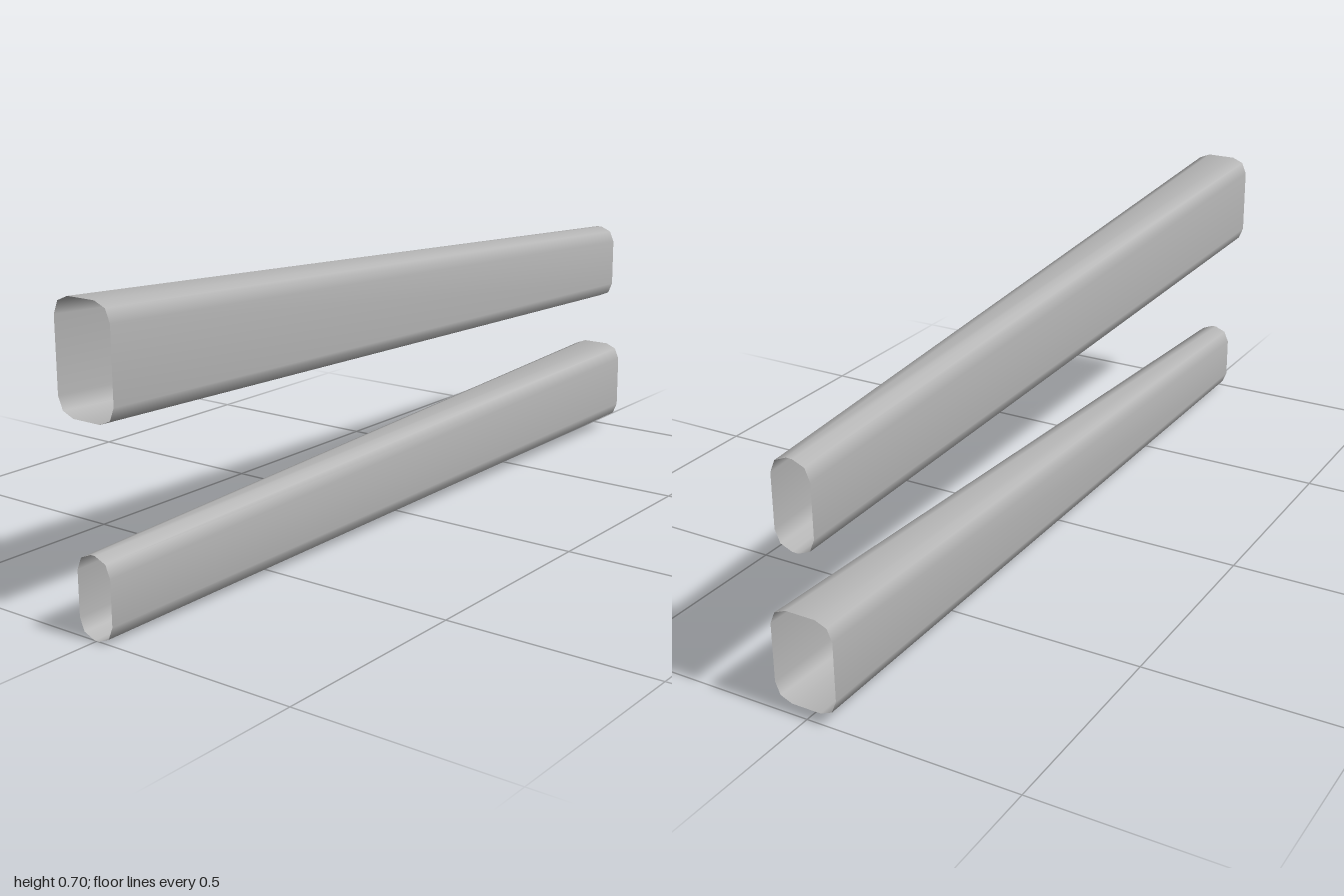
import * as THREE from 'three';

// Rounded-rectangle outline, two segments per corner, counter-clockwise from the right side
function section(halfWidth, bottom, top, z, r = 0.04) {
  const corners = [
    [halfWidth - r, top - r], [r - halfWidth, top - r],
    [r - halfWidth, bottom + r], [halfWidth - r, bottom + r],
  ];
  const points = [];
  corners.forEach(([x, y], c) => {
    for (let i = 0; i <= 2; i++) {
      const a = (c + i / 2) * Math.PI / 2;
      points.push([x + r * Math.cos(a), y + r * Math.sin(a), z]);
    }
  });
  return points;
}

// Open tube lofted between a front and a back outline
function taperedTube(name, front, back, material) {
  const n = front.length;
  const index = [];
  for (let i = 0; i < n; i++) {
    const j = (i + 1) % n;
    index.push(i, n + i, j, j, n + i, n + j);
  }
  const geometry = new THREE.BufferGeometry();
  geometry.setAttribute('position',
    new THREE.Float32BufferAttribute([...front, ...back].flat(), 3));
  geometry.setIndex(index);
  geometry.computeVertexNormals();
  const mesh = new THREE.Mesh(geometry, material);
  mesh.name = name;
  return mesh;
}

export function createModel() {
  const group = new THREE.Group();
  group.name = 'taperedTubes';
  const grey = new THREE.MeshStandardMaterial({ color: 0xb4b4b4, side: THREE.DoubleSide });
  grey.name = 'grey';

  // Upper tube narrows and drops towards the back
  group.add(taperedTube('upperTube',
    section(0.0765, 0.454, 0.697, 1), section(0.047, 0.381, 0.582, -1), grey));

  // Lower tube widens and rises towards the back
  group.add(taperedTube('lowerTube',
    section(0.046, 0, 0.181, 1), section(0.0755, 0.026, 0.242, -1), grey));

  return group;
}
